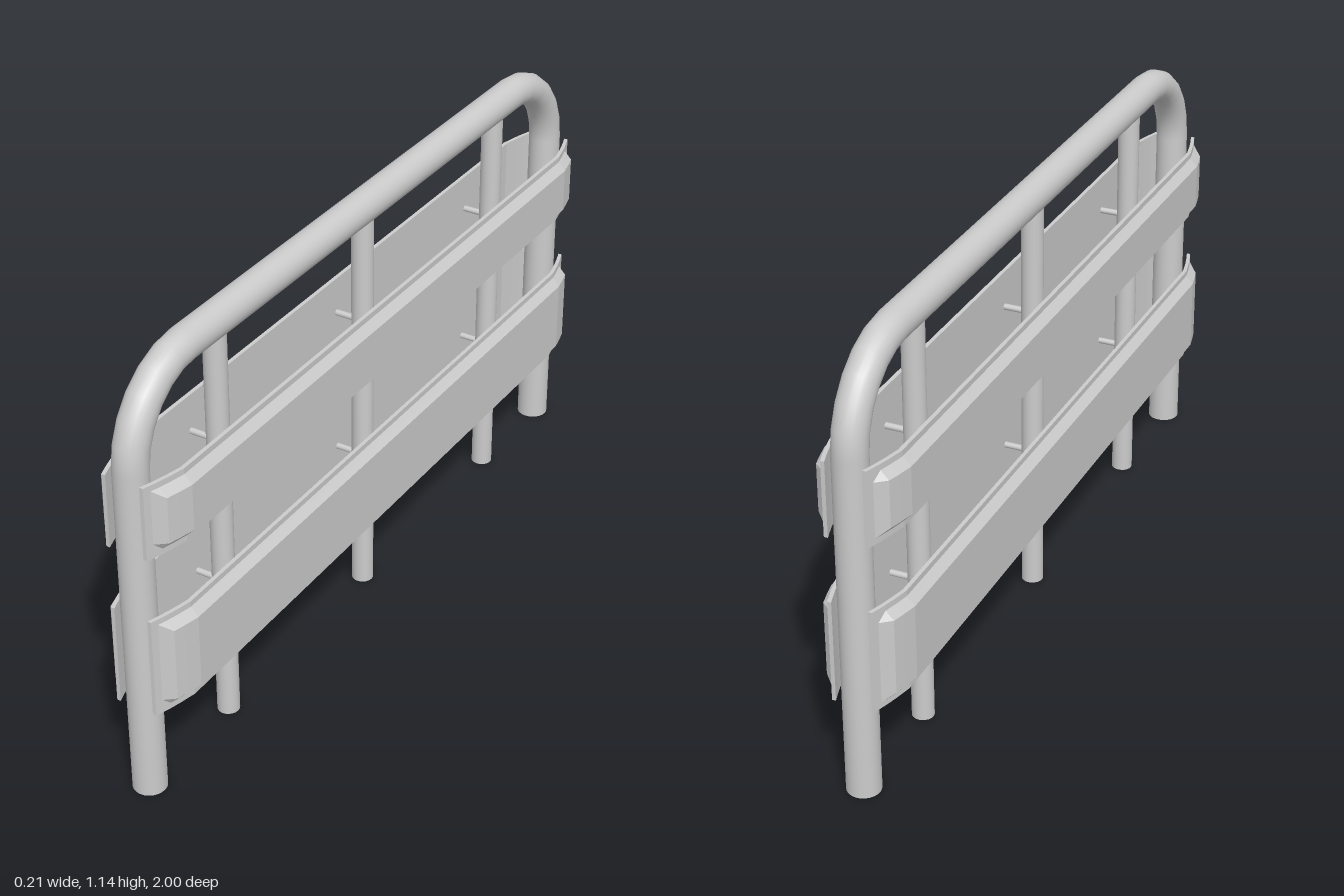
import * as THREE from 'three';

const material = new THREE.MeshStandardMaterial({ color: 0xcccccc });

function add(group, name, geometry, x = 0, y = 0, z = 0) {
  const mesh = new THREE.Mesh(geometry, material);
  mesh.name = name;
  mesh.position.set(x, y, z);
  group.add(mesh);
  return mesh;
}

// Round pipe swept along an arch in the YZ plane, with flat end caps
function archGeometry(r, halfSpan, height, bend, sides = 24, steps = 6) {
  const path = [[-halfSpan, 0, -1, 0]]; // z, y, outward z, outward y
  for (const s of [-1, 1]) {
    for (let i = 0; i <= steps; i++) {
      const a = (s < 0 ? i : steps - i) / steps * Math.PI / 2;
      const oz = s * Math.cos(a), oy = Math.sin(a);
      path.push([s * (halfSpan - bend) + bend * oz, height - bend + bend * oy, oz, oy]);
    }
  }
  path.push([halfSpan, 0, 1, 0]);

  const pos = [], nor = [], idx = [];
  for (const [z, y, oz, oy] of path) {
    for (let j = 0; j <= sides; j++) {
      const t = j / sides * Math.PI * 2, c = Math.cos(t), s = Math.sin(t);
      pos.push(r * s, y + r * c * oy, z + r * c * oz);
      nor.push(s, c * oy, c * oz);
    }
  }
  const n = sides + 1;
  for (let i = 0; i < path.length - 1; i++) {
    for (let j = 0; j < sides; j++) {
      const a = i * n + j, b = a + n;
      idx.push(a, b, a + 1, b, b + 1, a + 1);
    }
  }
  // Feet caps facing down
  for (const z of [-halfSpan, halfSpan]) {
    const c = pos.length / 3;
    pos.push(0, 0, z);
    nor.push(0, -1, 0);
    for (let j = 0; j <= sides; j++) {
      const t = j / sides * Math.PI * 2;
      pos.push(r * Math.sin(t), 0, z + r * Math.cos(t));
      nor.push(0, -1, 0);
    }
    for (let j = 0; j < sides; j++) idx.push(c, c + 2, c + 1);
    for (let j = 0; j < sides; j++) {
      const k = idx.length - (sides - j) * 3;
      idx[k + 1] = c + 2 + j;
      idx[k + 2] = c + 1 + j;
    }
  }
  const g = new THREE.BufferGeometry();
  g.setAttribute('position', new THREE.Float32BufferAttribute(pos, 3));
  g.setAttribute('normal', new THREE.Float32BufferAttribute(nor, 3));
  g.setIndex(idx);
  // Make the winding agree with the stored normals
  for (let i = 0; i < idx.length; i += 3) {
    const [a, b, c] = [0, 1, 2].map(k => new THREE.Vector3().fromArray(pos, idx[i + k] * 3));
    const face = b.sub(a).cross(c.sub(a));
    if (face.dot(new THREE.Vector3().fromArray(nor, idx[i] * 3)) < 0) {
      [idx[i + 1], idx[i + 2]] = [idx[i + 2], idx[i + 1]];
    }
  }
  g.setIndex(idx);
  return g;
}

// Board with a raised bevelled face and ends curving in; side is +1 or -1 in x
function panelGeometry(y0, y1, side) {
  // z, flange face x, how far the centre is raised (0..1)
  const half = [[0.88, 0.085, 1], [0.92, 0.076, 1], [0.95, 0.068, 1], [0.972, 0.061, 0], [0.99, 0.055, 0]];
  const cols = [...half.map(([z, x, k]) => [-z, x, k]).reverse(), ...half];
  const rows = [[y0, 0], [y0 + 0.015, 0], [y0 + 0.036, 0.02], [y1 - 0.036, 0.02], [y1 - 0.015, 0], [y1, 0]];
  const thick = 0.01, pos = [];
  const quad = (a, b, c, d) => {
    const order = side > 0 ? [a, b, c, a, c, d] : [a, c, b, a, d, c];
    for (const p of order) pos.push(side * p[0], p[1], p[2]);
  };
  const front = (i, j) => [cols[i][1] + rows[j][1] * cols[i][2], rows[j][0], cols[i][0]];
  const back = (i, j) => [cols[i][1] - thick, rows[j][0], cols[i][0]];
  const m = cols.length - 1, n = rows.length - 1;
  for (let i = 0; i < m; i++) {
    for (let j = 0; j < n; j++) {
      quad(front(i, j), front(i, j + 1), front(i + 1, j + 1), front(i + 1, j));
    }
    quad(back(i, 0), back(i + 1, 0), back(i + 1, n), back(i, n));
    quad(front(i, n), back(i, n), back(i + 1, n), front(i + 1, n));
    quad(front(i, 0), front(i + 1, 0), back(i + 1, 0), back(i, 0));
  }
  quad(front(0, 0), back(0, 0), back(0, n), front(0, n));
  quad(front(m, 0), front(m, n), back(m, n), back(m, 0));
  const g = new THREE.BufferGeometry();
  g.setAttribute('position', new THREE.Float32BufferAttribute(pos, 3));
  g.computeVertexNormals();
  return g;
}

export function createModel() {
  const model = new THREE.Group();
  model.name = 'barrier';

  add(model, 'archFrame', archGeometry(0.042, 0.958, 1.098, 0.21));

  const boards = [[0.253, 0.518], [0.686, 0.877]];
  const postZ = [-0.65, 0, 0.63];

  // Uprights and the pegs that hold the boards
  const post = new THREE.CylinderGeometry(0.028, 0.028, 1.09, 20);
  const peg = new THREE.CylinderGeometry(0.008, 0.008, 0.152, 10).rotateZ(Math.PI / 2);
  for (const z of postZ) {
    add(model, 'post', post, 0, 0.545, z);
    for (const [y0, y1] of boards) add(model, 'peg', peg, 0, (y0 + y1) / 2, z);
  }

  // Boards on both sides
  for (const side of [-1, 1]) {
    boards.forEach(([y0, y1], i) => {
      const name = (side > 0 ? 'left' : 'right') + (i ? 'UpperBoard' : 'LowerBoard');
      add(model, name, panelGeometry(y0, y1, side));
    });
  }
  return model;
}
